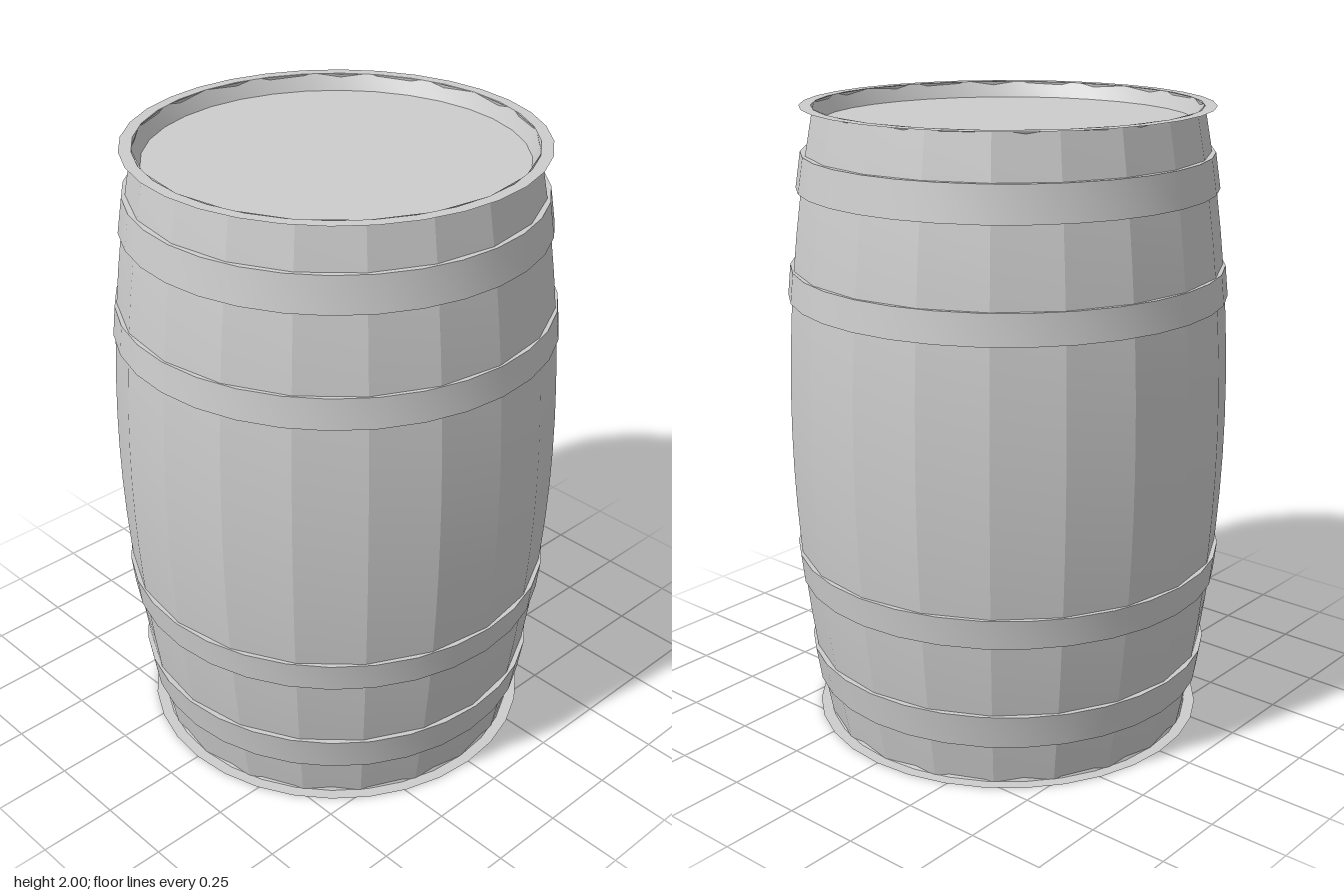
import * as THREE from 'three';
import { toCreasedNormals } from 'three/addons/utils/BufferGeometryUtils.js';

// Lathe a profile of [radius, y] pairs, keeping edges sharper than the crease angle
function turned(profile, sides, crease) {
  const points = profile.map(([r, y]) => new THREE.Vector2(r, y));
  return toCreasedNormals(new THREE.LatheGeometry(points, sides), crease);
}

export function createModel() {
  const barrel = new THREE.Group();
  barrel.name = 'barrel';
  const grey = new THREE.MeshStandardMaterial({ color: 0xcccccc, side: THREE.DoubleSide });
  grey.name = 'plain grey';

  const add = (name, geometry, parent) => {
    const mesh = new THREE.Mesh(geometry, grey);
    mesh.name = name;
    parent.add(mesh);
  };

  // Bulging body of twenty flat staves, smooth along their length
  const bulge = [];
  for (let i = 0; i <= 16; i++) {
    const t = i / 8 - 1;
    bulge.push([0.7 - 0.1 * t * t, 1 + t]);
  }
  add('staves', turned(bulge, 20, 0.2), barrel);

  // Hoops and a recessed head, built at the top and turned over for the bottom
  const hoops = [
    ['outerHoop', 0.655, 1.75, 0.638, 1.86],
    ['innerHoop', 0.691, 1.415, 0.681, 1.51],
  ];
  for (const end of ['top', 'bottom']) {
    const half = new THREE.Group();
    half.name = end + 'End';
    for (const [name, r0, y0, r1, y1] of hoops) {
      const band = [[r0 - 0.05, y0], [r0, y0], [r1, y1], [r1 - 0.05, y1]];
      add(name, turned(band, 32, 0.6), half);
    }
    // Thin flat rim, sloping inner wall and round head
    add('rimAndHead', turned([[0.637, 2], [0.6, 2], [0.577, 1.95], [0, 1.95]], 32, 0.6), half);
    if (end === 'bottom') {
      half.rotation.x = Math.PI;
      half.position.y = 2;
    }
    barrel.add(half);
  }
  return barrel;
}
